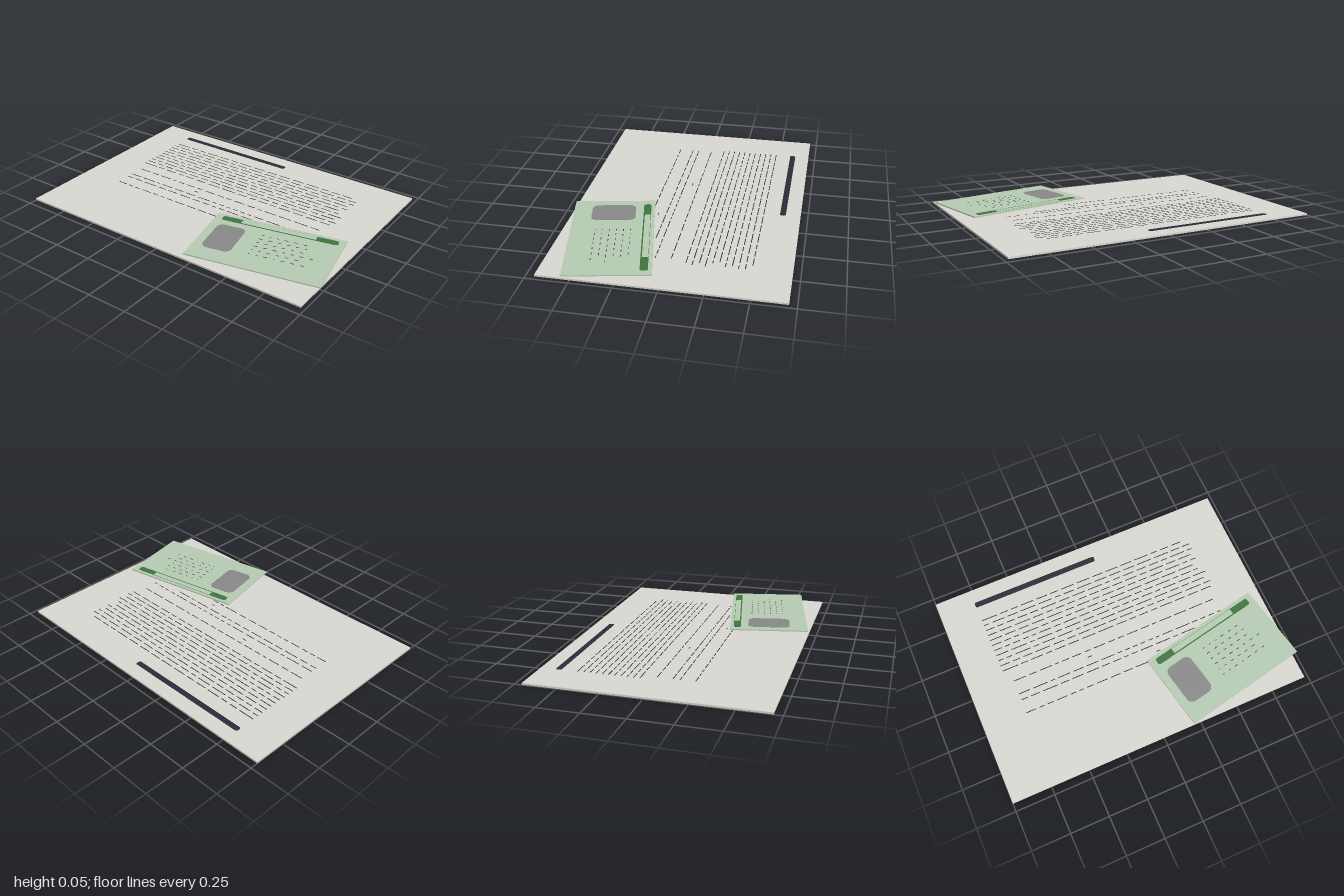
import * as THREE from 'three';

const material = (name, color) => {
  const m = new THREE.MeshStandardMaterial({ color });
  m.name = name;
  return m;
};

export function createModel() {
  const paper = material('warm grey paper', 0xdcdad3);
  const cardGreen = material('pale green card', 0xb8cdb5);
  const bandGreen = material('dark green band', 0x40753f);
  const photoGrey = material('photo grey', 0x8a8a8a);
  const ink = material('dark ink', 0x2c2b38);

  let seed = 7;
  const rand = () => (seed = (seed * 16807) % 2147483647) / 2147483647;

  const box = (parent, name, mat, w, h, d, x, y, z) => {
    const mesh = new THREE.Mesh(new THREE.BoxGeometry(w, h, d), mat);
    mesh.name = name;
    mesh.position.set(x, y + h / 2, z);
    parent.add(mesh);
    return mesh;
  };

  // Flat plate with rounded corners, its underside at height y
  const plate = (parent, name, mat, w, h, d, r, x, y, z) => {
    const a = w / 2, b = d / 2;
    const s = new THREE.Shape();
    s.moveTo(-a + r, -b);
    s.lineTo(a - r, -b);
    s.absarc(a - r, -b + r, r, -Math.PI / 2, 0);
    s.absarc(a - r, b - r, r, 0, Math.PI / 2);
    s.absarc(-a + r, b - r, r, Math.PI / 2, Math.PI);
    s.absarc(-a + r, -b + r, r, Math.PI, Math.PI * 1.5);
    const geo = new THREE.ExtrudeGeometry(s, { depth: h, bevelEnabled: false, curveSegments: 8 });
    geo.rotateX(-Math.PI / 2);
    const mesh = new THREE.Mesh(geo, mat);
    mesh.name = name;
    mesh.position.set(x, y, z);
    parent.add(mesh);
  };

  // A row of short dashes standing for words
  const dashRow = (parent, name, x0, x1, y, z, min, max, gap, thick) => {
    for (let x = x0; x < x1 - min;) {
      const w = Math.min(min + rand() * (max - min), x1 - x);
      box(parent, name, ink, w, 0.0008, thick, x + w / 2, y, z);
      x += w + gap;
    }
  };

  const model = new THREE.Group();
  model.name = 'document and card';

  // Large sheet with a heading bar that also shows underneath
  const sheet = new THREE.Group();
  sheet.name = 'sheet';
  model.add(sheet);
  const top = 0.012;
  box(sheet, 'paperSheet', paper, 1.975, top - 0.001, 1.405, -0.0125, 0.001, -0.0025);
  plate(sheet, 'headingBar', ink, 0.845, top + 0.0008, 0.036, 0.012, -0.342, 0, -0.595);

  // Paragraph lines
  for (let i = 0; i < 11; i++) {
    dashRow(sheet, 'textLine', -0.76, 0.66 + rand() * 0.07, top, -0.477 + i * 0.0375, 0.03, 0.11, 0.022, 0.005);
  }
  for (const [x0, x1, z] of [[-0.72, 0.68, -0.012], [-0.72, 0.69, 0.08], [-0.72, 0.5, 0.122],
    [-0.72, 0.24, 0.212], [-0.23, -0.2, 0.03], [0.19, 0.26, 0.17]]) {
    dashRow(sheet, 'textLine', x0, x1, top, z, 0.025, 0.1, 0.022, 0.005);
  }

  // Card floating above one corner of the sheet, turned slightly
  const card = new THREE.Group();
  card.name = 'card';
  card.position.set(0.5515, 0.039, 0.375);
  card.rotation.y = 0.2;
  model.add(card);
  const face = 0.007;
  box(card, 'cardBody', cardGreen, 0.816, face, 0.5, 0, 0, 0);
  plate(card, 'headerBand', bandGreen, 0.73, 0.0008, 0.046, 0.016, 0.003, face, -0.204);
  box(card, 'headerLabel', cardGreen, 0.47, 0.0014, 0.036, 0, face, -0.207);
  plate(card, 'photo', photoGrey, 0.18, 0.001, 0.27, 0.04, -0.263, face, 0.003);

  // Small print beside the photo
  for (let i = 0; i < 6; i++) {
    dashRow(card, 'cardText', -0.07, 0.22 + rand() * 0.09, face, -0.11 + i * 0.042, 0.008, 0.025, 0.035, 0.004);
  }

  return model;
}
